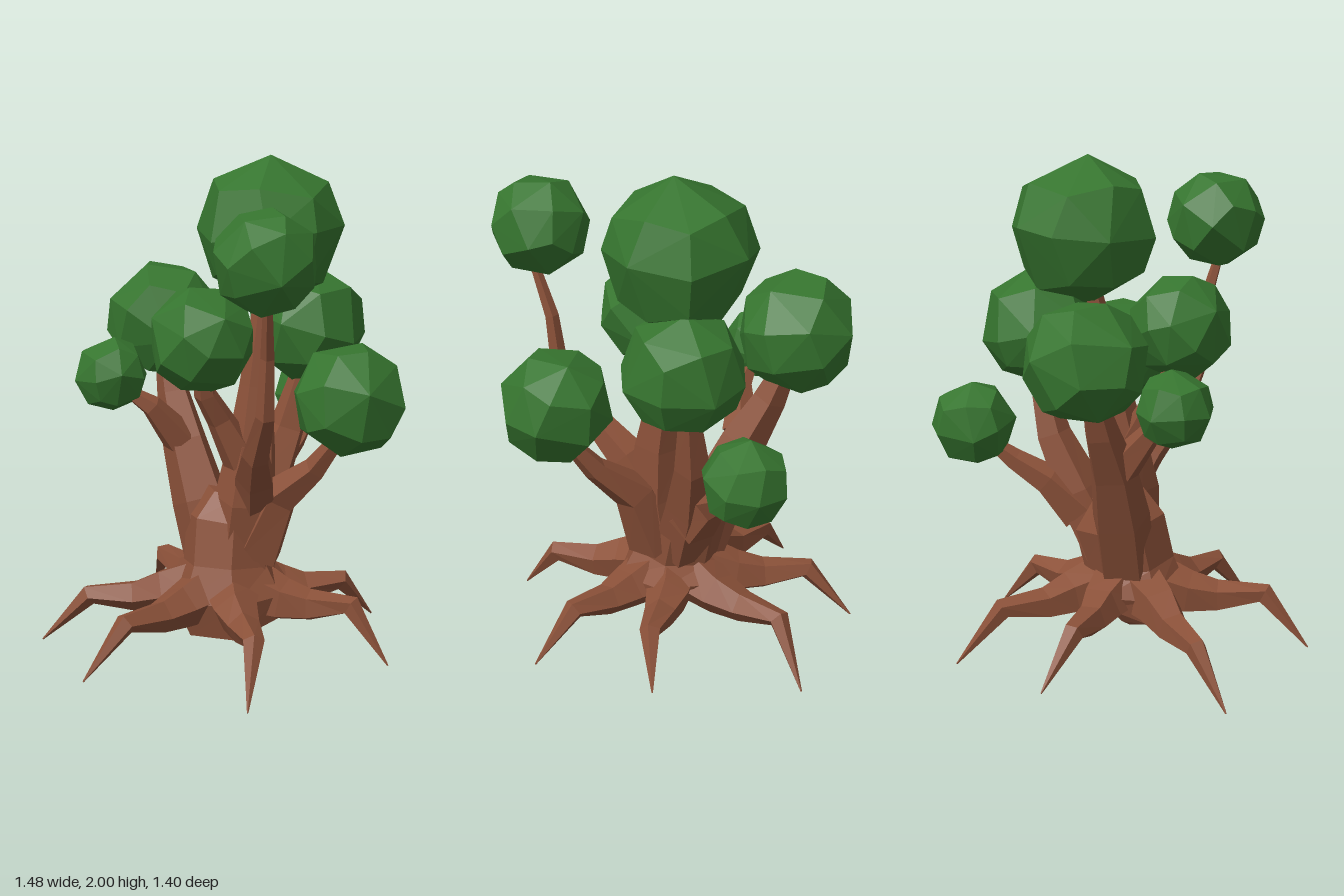
import * as THREE from 'three';
import { ConvexGeometry } from 'three/addons/geometries/ConvexGeometry.js';

const bark = new THREE.MeshStandardMaterial({ color: 0x8b5139, flatShading: true });
const leaf = new THREE.MeshStandardMaterial({ color: 0x36752f, flatShading: true });

// Faceted tube through [x, y, z, radius] points, closed at both ends
function limbGeometry(path, sides) {
  const pts = path.map(p => new THREE.Vector3(p[0], p[1], p[2]));
  const n = pts.length, pos = [], index = [];
  const u = new THREE.Vector3(0.8, 0.1, 0.6), v = new THREE.Vector3();
  pts.forEach((c, i) => {
    const t = pts[Math.min(i + 1, n - 1)].clone().sub(pts[Math.max(i - 1, 0)]).normalize();
    u.addScaledVector(t, -u.dot(t)).normalize();
    v.crossVectors(t, u);
    for (let j = 0; j < sides; j++) {
      const a = j / sides * Math.PI * 2;
      const p = c.clone().addScaledVector(u, Math.cos(a) * path[i][3]).addScaledVector(v, Math.sin(a) * path[i][3]);
      pos.push(p.x, p.y, p.z);
    }
  });
  const start = n * sides, end = start + 1;
  pos.push(...pts[0].toArray(), ...pts[n - 1].toArray());
  for (let j = 0; j < sides; j++) {
    const k = (j + 1) % sides;
    for (let i = 0; i < n - 1; i++) {
      const a = i * sides + j, b = i * sides + k;
      index.push(a, b, b + sides, a, b + sides, a + sides);
    }
    index.push(start, k, j, end, (n - 1) * sides + j, (n - 1) * sides + k);
  }
  const g = new THREE.BufferGeometry();
  g.setAttribute('position', new THREE.Float32BufferAttribute(pos, 3));
  g.setIndex(index);
  g.computeVertexNormals();
  return g;
}

// Coarse, slightly uneven ball: a cube grid of 26 points pushed onto a sphere
function foliageGeometry() {
  const points = [];
  for (const x of [-1, 0, 1]) for (const y of [-1, 0, 1]) for (const z of [-1, 0, 1]) {
    if (!x && !y && !z) continue;
    const wobble = k => 0.12 * Math.sin(5 * x + 3 * y + 7 * z + k);
    points.push(new THREE.Vector3(x + wobble(0), y + wobble(2), z + wobble(4)).setLength(1.01));
  }
  return new ConvexGeometry(points);
}

export function createModel() {
  const tree = new THREE.Group();
  const add = (parent, name, geometry, material) => {
    const m = new THREE.Mesh(geometry, material);
    m.name = name;
    parent.add(m);
    return m;
  };

  // Trunk, flaring into the root crown
  add(tree, 'trunk', limbGeometry([
    [0.07, 0.15, -0.05, 0.08], [0.055, 0.195, -0.01, 0.23], [0.05, 0.28, 0, 0.245],
    [0.045, 0.38, 0, 0.185], [0.05, 0.55, -0.04, 0.185], [0.07, 0.66, -0.05, 0.12],
  ], 7), bark);

  // Limbs and branches
  const limbs = {
    leftLimb: [[-0.02, 0.36, -0.05, 0.12], [-0.085, 0.6, -0.11, 0.12], [-0.16, 0.82, -0.18, 0.095], [-0.22, 1.0, -0.26, 0.07], [-0.27, 1.2, -0.33, 0.04]],
    leftTwig: [[-0.18, 0.84, -0.15, 0.075], [-0.28, 0.99, -0.08, 0.045], [-0.4, 1.07, -0.06, 0.02]],
    mainLimb: [[0.09, 0.38, 0.01, 0.14], [0.12, 0.65, 0.03, 0.13], [0.14, 0.87, 0.01, 0.1], [0.15, 1.1, -0.03, 0.07], [0.17, 1.48, -0.1, 0.035]],
    centreBranch: [[0.1, 0.82, 0.04, 0.08], [0.02, 0.99, 0.08, 0.055], [-0.03, 1.1, 0.13, 0.045], [-0.04, 1.22, 0.16, 0.03]],
    frontBranch: [[0.16, 0.66, 0.06, 0.085], [0.17, 0.78, 0.15, 0.08], [0.19, 0.91, 0.3, 0.055], [0.24, 1.1, 0.43, 0.038], [0.25, 1.33, 0.455, 0.028], [0.26, 1.56, 0.54, 0.018]],
    rightBranch: [[0.15, 0.44, 0.02, 0.12], [0.25, 0.68, 0.05, 0.085], [0.4, 0.82, 0.12, 0.05], [0.5, 0.97, 0.18, 0.03]],
    backLimb: [[0.1, 0.42, -0.07, 0.12], [0.17, 0.66, -0.17, 0.105], [0.25, 0.88, -0.24, 0.075], [0.31, 1.12, -0.27, 0.045]],
    backBranch: [[0.16, 0.58, -0.17, 0.1], [0.2, 0.71, -0.29, 0.065], [0.27, 0.79, -0.4, 0.045], [0.32, 0.87, -0.49, 0.025]],
  };
  const branches = new THREE.Group();
  branches.name = 'branches';
  tree.add(branches);
  for (const [name, path] of Object.entries(limbs)) add(branches, name, limbGeometry(path, 5), bark);

  // Roots: arch out from the trunk to a knee, then drop to a pointed tip
  const roots = new THREE.Group();
  roots.name = 'roots';
  tree.add(roots);
  const tips = [ // tip x, y, z, knee height, sideways swing
    [-0.73, 0.0, 0.0, 0.2, 0.02], [-0.44, 0.06, 0.55, 0.26, -0.03], [-0.36, 0.06, -0.59, 0.25, -0.04],
    [0.17, 0.01, -0.71, 0.24, -0.05], [0.6, 0.07, -0.31, 0.25, 0.03],
    [0.7, 0.05, 0.2, 0.26, -0.03], [0.21, 0.03, 0.68, 0.24, -0.04],
  ];
  for (const [x, y, z, knee, swing] of tips) {
    const dx = x - 0.05, len = Math.hypot(dx, z);
    const at = (f, h, s, r) => [0.05 + dx * f - z / len * s, h, z * f + dx / len * s, r];
    add(roots, 'root', limbGeometry([
      at(0.15, 0.28, 0, 0.12), at(0.34, 0.25, 0, 0.09), at(0.5, (knee + 0.22) / 2, swing / 2, 0.066),
      at(0.75, knee, swing, 0.043), at(1, y, 0, 0.003),
    ], 5), bark);
  }

  // Foliage balls: x, y, z, radius
  const crown = new THREE.Group();
  crown.name = 'crown';
  tree.add(crown);
  const ball = foliageGeometry();
  [
    [0.185, 1.705, -0.13, 0.292], [0.245, 1.695, 0.505, 0.198], [0.53, 1.12, 0.2, 0.222], [-0.035, 1.33, 0.185, 0.21],
    [-0.27, 1.295, -0.35, 0.24], [0.325, 1.31, -0.25, 0.238], [-0.44, 1.12, -0.065, 0.15], [0.335, 0.945, -0.545, 0.17],
  ].forEach(([x, y, z, r], i) => {
    const m = add(crown, 'foliageBall', ball, leaf);
    m.position.set(x, y, z);
    m.scale.setScalar(r);
    m.rotation.set(i * 1.3, i * 2.1, i * 0.7);
  });
  return tree;
}
